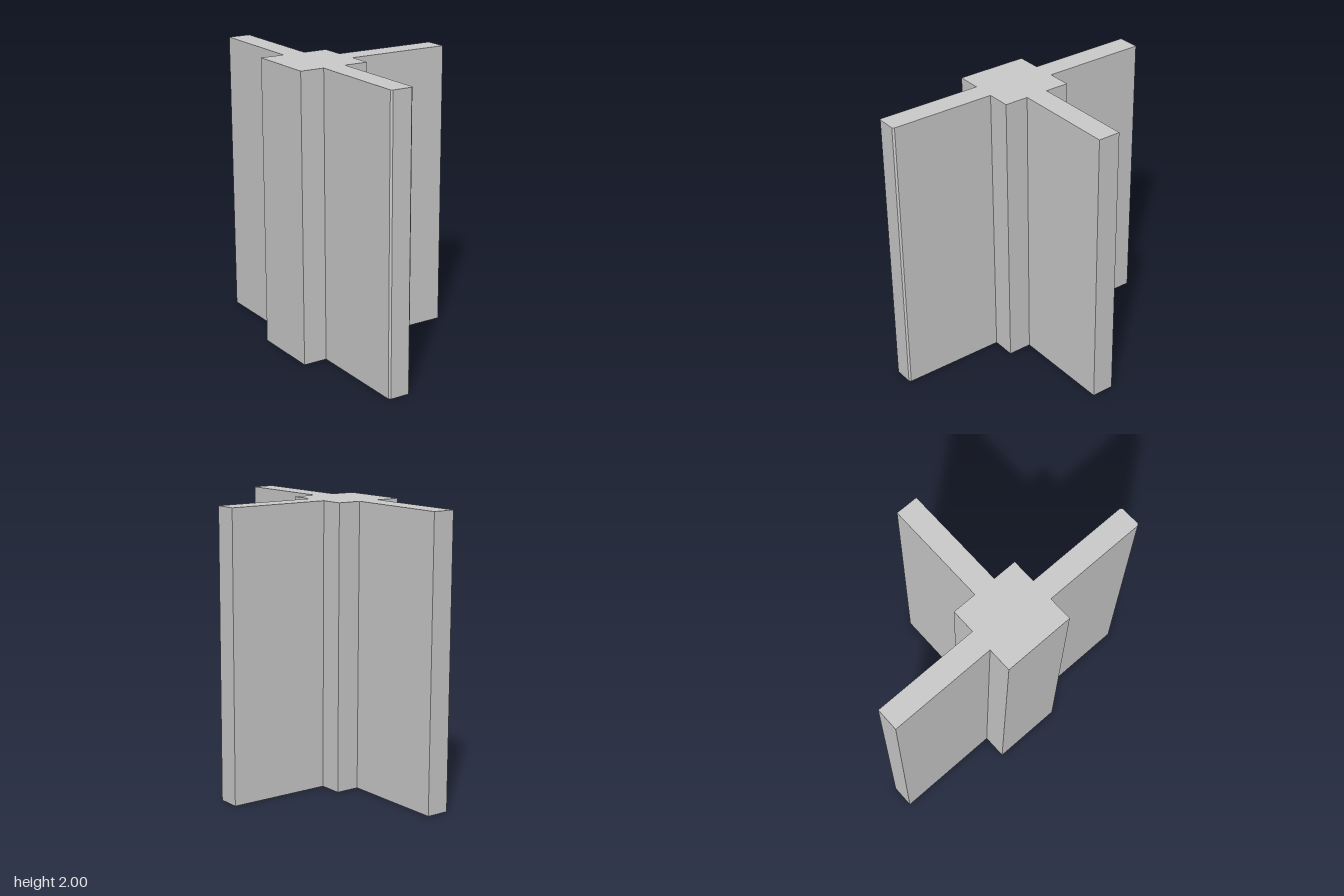
import * as THREE from 'three';

const HEIGHT = 2;
const POST_X = -0.37;   // centre of the square post
const POST_HALF = 0.25;
const WALL_HALF = 0.08; // half the wall thickness
const WALL_END = 1;     // reach of the front and back walls
const SIDE_END = 0.615; // reach of the side wall
const BEVEL = 0.012;    // tiny corner cut on the front wall's end

export function createModel() {
  const group = new THREE.Group();
  group.name = 'wallJunction';

  const left = POST_X - POST_HALF, right = POST_X + POST_HALF;
  const wallL = POST_X - WALL_HALF, wallR = POST_X + WALL_HALF;

  // Plan outline as [x, z], walked around the post and its three walls
  const plan = [
    // front wall
    [left, POST_HALF], [wallL, POST_HALF],
    [wallL, WALL_END - BEVEL], [wallL + BEVEL, WALL_END],
    [wallR - BEVEL, WALL_END], [wallR, WALL_END - BEVEL],
    [wallR, POST_HALF], [right, POST_HALF],
    // side wall
    [right, WALL_HALF], [SIDE_END, WALL_HALF],
    [SIDE_END, -WALL_HALF], [right, -WALL_HALF],
    // back wall
    [right, -POST_HALF], [wallR, -POST_HALF],
    [wallR, -WALL_END], [wallL, -WALL_END],
    [wallL, -POST_HALF], [left, -POST_HALF],
  ];

  // Extrude the plan upward; shape y becomes -z after the rotation
  const shape = new THREE.Shape(plan.map(([x, z]) => new THREE.Vector2(x, -z)));
  const geometry = new THREE.ExtrudeGeometry(shape, { depth: HEIGHT, bevelEnabled: false });
  geometry.rotateX(-Math.PI / 2);

  const mesh = new THREE.Mesh(
    geometry,
    new THREE.MeshStandardMaterial({ color: 0xcccccc, flatShading: true })
  );
  mesh.name = 'postWithWalls';
  group.add(mesh);
  return group;
}
